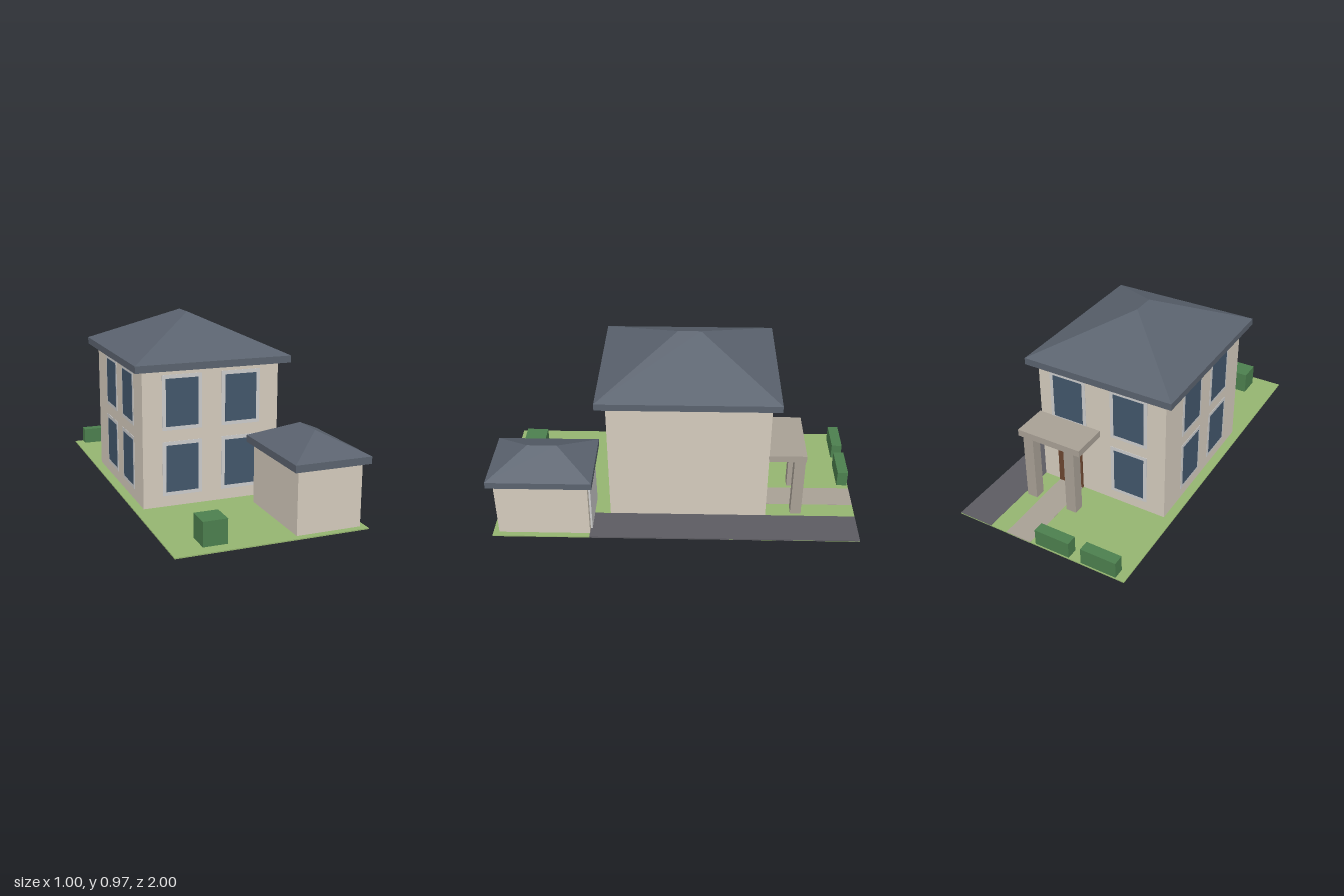
import * as THREE from 'three';

const mat = (color) => new THREE.MeshStandardMaterial({ color, flatShading: true });

export function createModel() {
  const model = new THREE.Group();
  const wall = mat(0xd4cbbd), roof = mat(0x5a626e), grass = mat(0x95b570), asphalt = mat(0x5c5b61);
  const stone = mat(0xa8a095), glass = mat(0x42566b), trim = mat(0xdadad6), hedge = mat(0x4c7f4e);
  const wood = mat(0x6b452f), doorPaint = mat(0xdddddb);

  // Box given by its limits on each axis
  function box(name, material, [x0, x1], [y0, y1], [z0, z1], parent = model) {
    const mesh = new THREE.Mesh(new THREE.BoxGeometry(x1 - x0, y1 - y0, z1 - z0), material);
    mesh.position.set((x0 + x1) / 2, (y0 + y1) / 2, (z0 + z1) / 2);
    mesh.name = name;
    parent.add(mesh);
    return mesh;
  }

  // Hipped roof: eaves slab topped by four slopes meeting at a ridge along z
  function hipRoof(name, [x0, x1], [y0, y1, y2], [z0, z1], [r0, r1]) {
    const group = new THREE.Group();
    group.name = name;
    const xm = (x0 + x1) / 2;
    const a = [x0, y1, z0], b = [x1, y1, z0], c = [x1, y1, z1], d = [x0, y1, z1];
    const p = [xm, y2, r0], q = [xm, y2, r1];
    const faces = [[d, c, q], [b, a, p], [c, b, p], [c, p, q], [a, d, q], [a, q, p]];
    const geometry = new THREE.BufferGeometry();
    geometry.setAttribute('position', new THREE.Float32BufferAttribute(faces.flat(2), 3));
    geometry.computeVertexNormals();
    const slopes = new THREE.Mesh(geometry, roof);
    slopes.name = name + 'Slopes';
    group.add(slopes);
    box(name + 'Eaves', roof, [x0, x1], [y0, y1], [z0, z1], group);
    model.add(group);
  }

  // Framed window facing +z, then turned and placed on its wall
  function addWindow(name, x, y, z, turn) {
    const group = new THREE.Group();
    group.name = name;
    const w = 0.0875, h = 0.125, t = 0.02;
    box('windowFrame', trim, [-w - t, w + t], [-h - t, h + t], [-0.005, 0.002], group);
    box('windowGlass', glass, [-w, w], [-h, h], [-0.004, 0.004], group);
    group.position.set(x, y, z);
    group.rotation.y = turn;
    model.add(group);
  }

  // Plot: lawn, driveway and garden path
  box('lawn', grass, [-0.5, 0.5], [0.001, 0.007], [-1, 1]);
  box('driveway', asphalt, [0.3, 0.5], [0, 0.008], [-1, 0.47]);
  box('gardenPath', stone, [0.05, 0.2], [0, 0.008], [-1, -0.5]);

  // Main house
  box('houseWalls', wall, [-0.45, 0.3], [0.005, 0.74], [-0.5, 0.37]);
  hipRoof('houseRoof', [-0.5, 0.35], [0.733, 0.77, 0.97], [-0.547, 0.423], [-0.125, 0]);

  // Windows on both floors; the porch door replaces one at the back
  for (const y of [0.21, 0.56]) {
    for (const x of [-0.2375, 0.0875]) addWindow('frontWindow', x, y, 0.37, 0);
    for (const z of [-0.21, 0.11]) addWindow('sideWindow', -0.45, y, z, -Math.PI / 2);
    addWindow('backWindow', -0.2375, y, -0.5, Math.PI);
  }
  addWindow('backWindow', 0.125, 0.56, -0.5, Math.PI);

  // Porch with two posts and the entrance door
  box('porchRoof', stone, [-0.065, 0.31], [0.39, 0.428], [-0.7, -0.5]);
  for (const x of [0, 0.25]) box('porchPost', stone, [x - 0.03, x + 0.03], [0.005, 0.39], [-0.7, -0.64]);
  box('entranceDoor', wood, [0.05, 0.2], [0.005, 0.298], [-0.51, -0.495]);

  // Garage at the end of the driveway
  box('garageWalls', wall, [0.125, 0.47], [0.005, 0.34], [0.468, 0.967]);
  hipRoof('garageRoof', [0.094, 0.5], [0.333, 0.37, 0.47], [0.44, 1], [0.64, 0.8]);
  box('garageDoor', doorPaint, [0.17, 0.43], [0.005, 0.28], [0.458, 0.47]);

  // Clipped bushes
  box('frontBush', hedge, [-0.34, -0.215], [0.005, 0.132], [0.81, 0.935]);
  for (const x of [-0.35, -0.08]) box('backHedge', hedge, [x - 0.1, x + 0.1], [0.005, 0.098], [-0.995, -0.935]);

  return model;
}
